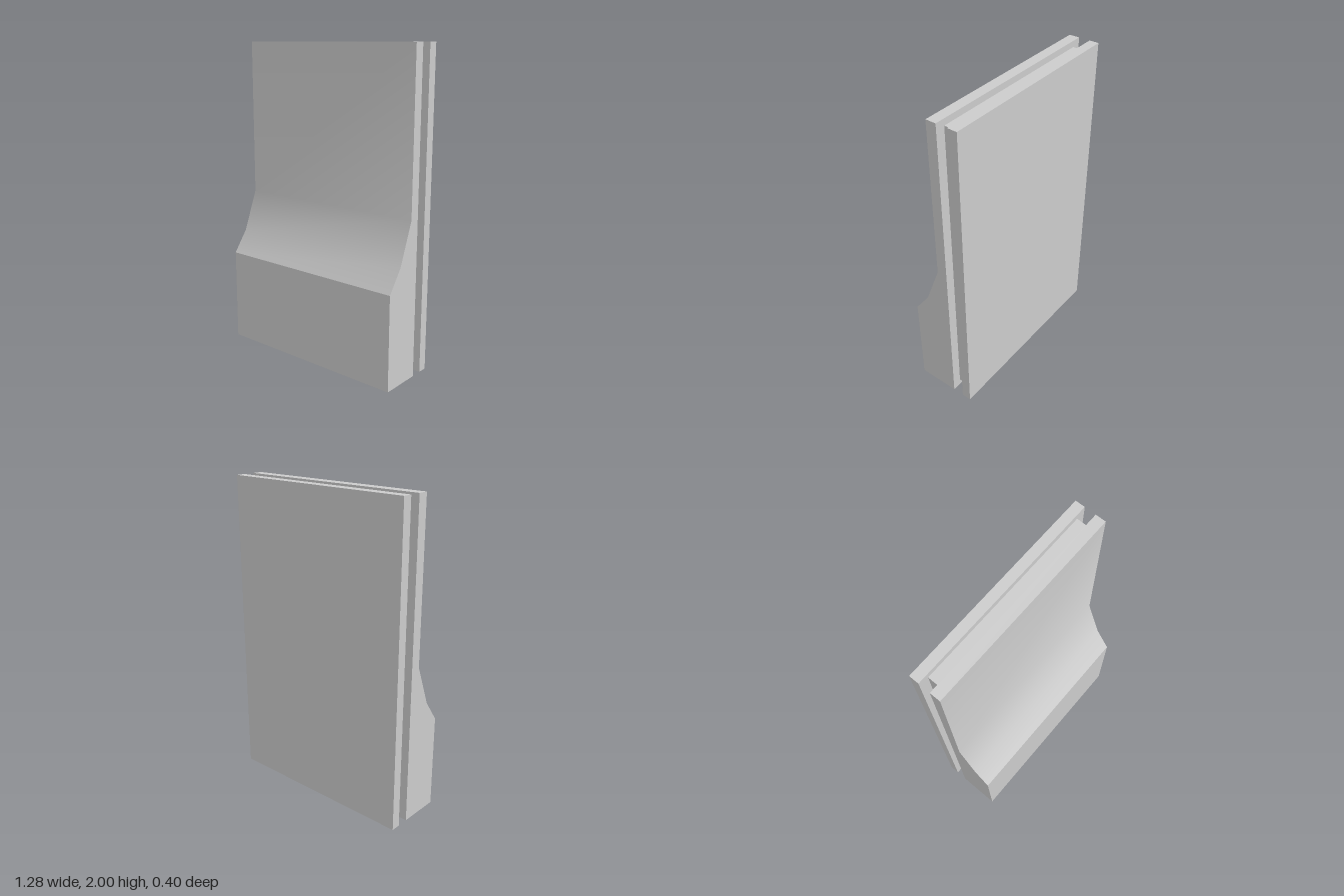
import * as THREE from 'three';
import { toCreasedNormals } from 'three/addons/utils/BufferGeometryUtils.js';

const WIDTH = 1.28;
const HEIGHT = 2;

export function createModel() {
  const group = new THREE.Group();
  const material = new THREE.MeshStandardMaterial({ color: 0xcccccc });

  const add = (name, geometry) => {
    const mesh = new THREE.Mesh(geometry, material);
    mesh.name = name;
    group.add(mesh);
    return mesh;
  };

  // Slab spanning zBack..zFront, centred in x and in height
  const slab = (name, width, height, zBack, zFront) => {
    const mesh = add(name, new THREE.BoxGeometry(width, height, zFront - zBack));
    mesh.position.set(0, HEIGHT / 2, (zBack + zFront) / 2);
  };

  // Front panel: side profile as (z, y), with a thick foot sweeping up to a thin face
  const profile = new THREE.Shape([
    [-0.066, 0], [0.2, 0], [0.2, 0.6], [0.1, 0.74], [0, 1], [0, HEIGHT], [-0.066, HEIGHT],
  ].map(([z, y]) => new THREE.Vector2(z, y)));
  const front = new THREE.ExtrudeGeometry(profile, { depth: WIDTH, bevelEnabled: false });
  front.translate(0, 0, -WIDTH / 2).rotateY(-Math.PI / 2);
  // Smooth across the sweep, sharp at its lower edge
  add('frontPanel', toCreasedNormals(front, 0.5));

  // Recessed core leaving a groove around all four edges
  slab('core', 1.16, 1.92, -0.139, -0.066);

  // Flat back panel
  slab('backPanel', WIDTH, HEIGHT, -0.2, -0.139);

  return group;
}
